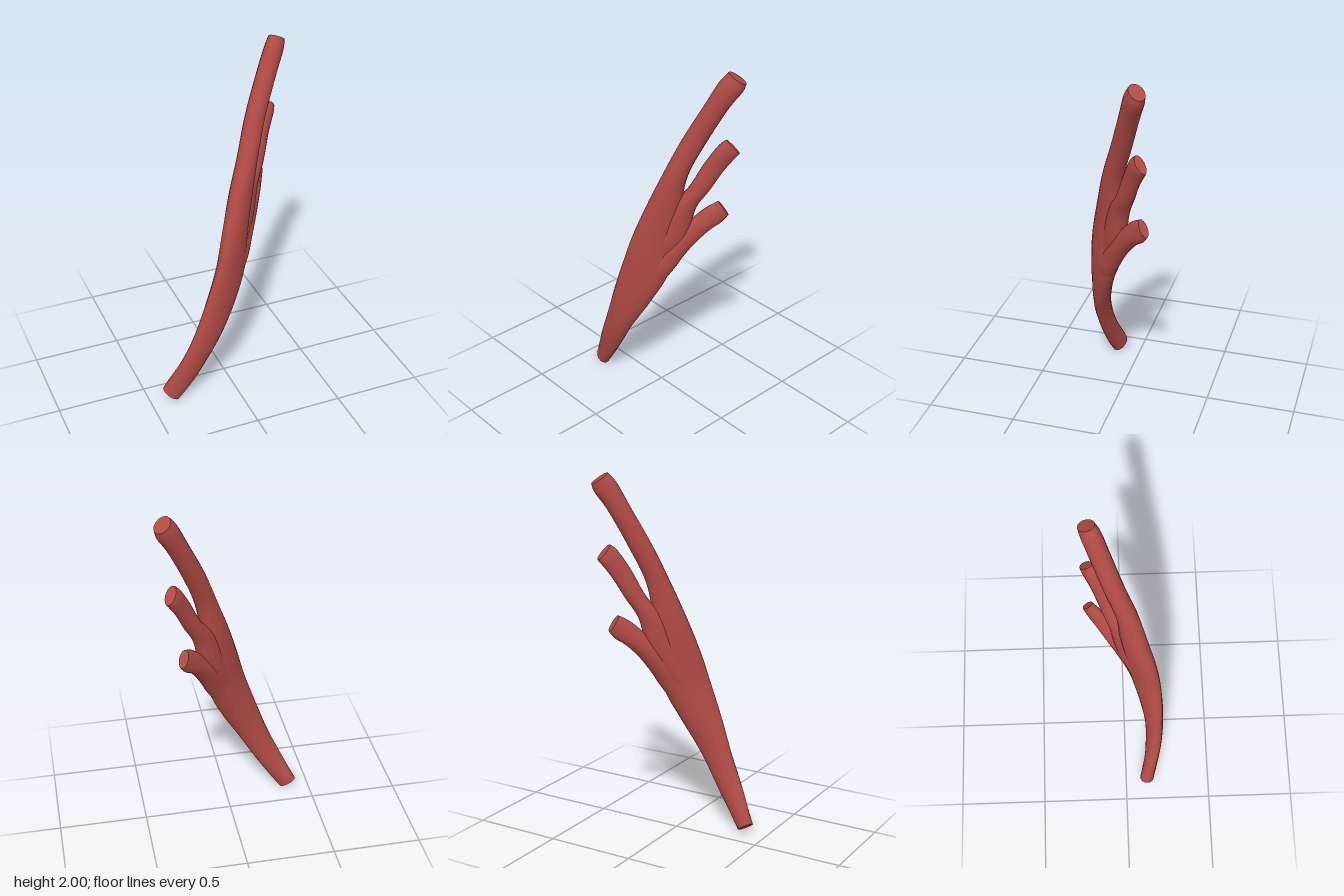
import * as THREE from 'three';

const SIDES = 16;
const STEPS = 5; // rings between two given sections

// Each section: x, y, z, half width, half thickness, yaw in degrees, tilt of the ring
const mainStrand = [
  [-0.375, 0.033, 0.127, 0.045, 0.04, -30, 0.72],
  [-0.275, 0.2, 0.158, 0.066, 0.042, 0, 0.3],
  [-0.17, 0.4, 0.17, 0.09, 0.048, 10, 0],
  [-0.08, 0.6, 0.15, 0.116, 0.055, 24, 0],
  [-0.005, 0.8, 0.115, 0.135, 0.058, 36, 0],
  [0.03, 1.0, 0.09, 0.115, 0.06, 42, 0],
  [0.075, 1.2, 0.055, 0.093, 0.06, 43, 0],
  [0.128, 1.4, 0.02, 0.067, 0.055, 43, 0],
  [0.198, 1.6, -0.045, 0.066, 0.053, 40, 0],
  [0.287, 1.8, -0.11, 0.062, 0.052, 40, 0.1],
  [0.345, 1.915, -0.15, 0.06, 0.05, 42, 0.4],
  [0.371, 1.968, -0.172, 0.045, 0.042, 45, 0.65],
];
const middleSlip = [
  [0.0, 0.8, 0.1, 0.06, 0.045, 38, 0],
  [0.09, 1.0, 0.03, 0.09, 0.055, 42, 0],
  [0.145, 1.2, -0.015, 0.074, 0.052, 43, 0],
  [0.214, 1.32, -0.07, 0.06, 0.045, 47, 0],
  [0.271, 1.45, -0.118, 0.058, 0.036, 52, 0.2],
  [0.32, 1.545, -0.162, 0.05, 0.035, 55, 0.6],
  [0.343, 1.577, -0.185, 0.036, 0.028, 55, 1.1],
];
const lowerSlip = [
  [-0.06, 0.6, 0.14, 0.06, 0.04, 26, 0],
  [0.045, 0.8, 0.08, 0.085, 0.05, 38, 0],
  [0.09, 0.9, 0.035, 0.085, 0.052, 40, 0],
  [0.145, 1.0, -0.025, 0.08, 0.05, 45, 0],
  [0.212, 1.1, -0.1, 0.066, 0.042, 54, 0.3],
  [0.284, 1.192, -0.188, 0.028, 0.026, 55, 1.5],
];

// Smooth loft through tilted elliptical rings, with flat ends
function loft(sections) {
  const curve = (f) => new THREE.CatmullRomCurve3(
    sections.map((s) => new THREE.Vector3(...f(s))), false, 'catmullrom', 0.5);
  const centres = curve((s) => [s[0], s[1], s[2]]);
  const sizes = curve((s) => [s[3], s[4], s[6]]);
  const yaws = curve((s) => [THREE.MathUtils.degToRad(s[5]), 0, 0]);
  const rings = (sections.length - 1) * STEPS;
  const pos = [];
  const index = [];

  for (let i = 0; i <= rings; i++) {
    const c = centres.getPoint(i / rings);
    const { x: w, y: t, z: tilt } = sizes.getPoint(i / rings);
    const yaw = yaws.getPoint(i / rings).x;
    for (let j = 0; j < SIDES; j++) {
      const a = (j / SIDES) * Math.PI * 2;
      const u = Math.cos(a) * w;
      const v = Math.sin(a) * t;
      pos.push(
        c.x + u * Math.cos(yaw) + v * Math.sin(yaw),
        c.y - tilt * u,
        c.z - u * Math.sin(yaw) + v * Math.cos(yaw));
    }
  }
  for (let i = 0; i < rings; i++) {
    for (let j = 0; j < SIDES; j++) {
      const k = (j + 1) % SIDES;
      const a = i * SIDES + j, b = i * SIDES + k;
      const c = a + SIDES, d = b + SIDES;
      index.push(a, c, b, b, c, d);
    }
  }
  // Ends use their own corners so that the rims stay sharp
  for (const ring of [0, rings]) {
    const first = pos.length / 3;
    const from = ring * SIDES * 3;
    pos.push(...pos.slice(from, from + SIDES * 3));
    const centre = centres.getPoint(ring / rings);
    pos.push(centre.x, centre.y, centre.z);
    for (let j = 0; j < SIDES; j++) {
      const a = first + j, b = first + (j + 1) % SIDES;
      if (ring === 0) index.push(first + SIDES, a, b);
      else index.push(first + SIDES, b, a);
    }
  }

  const geometry = new THREE.BufferGeometry();
  geometry.setAttribute('position', new THREE.Float32BufferAttribute(pos, 3));
  geometry.setIndex(index);
  geometry.computeVertexNormals();
  return geometry;
}

export function createModel() {
  const group = new THREE.Group();
  group.name = 'threeSlipMuscle';
  const muscleRed = new THREE.MeshStandardMaterial({ color: 0xb04a45 });
  muscleRed.name = 'muscle red';

  const parts = { muscleBelly: mainStrand, middleSlip, lowerSlip };
  for (const [name, sections] of Object.entries(parts)) {
    const mesh = new THREE.Mesh(loft(sections), muscleRed);
    mesh.name = name;
    group.add(mesh);
  }
  return group;
}
